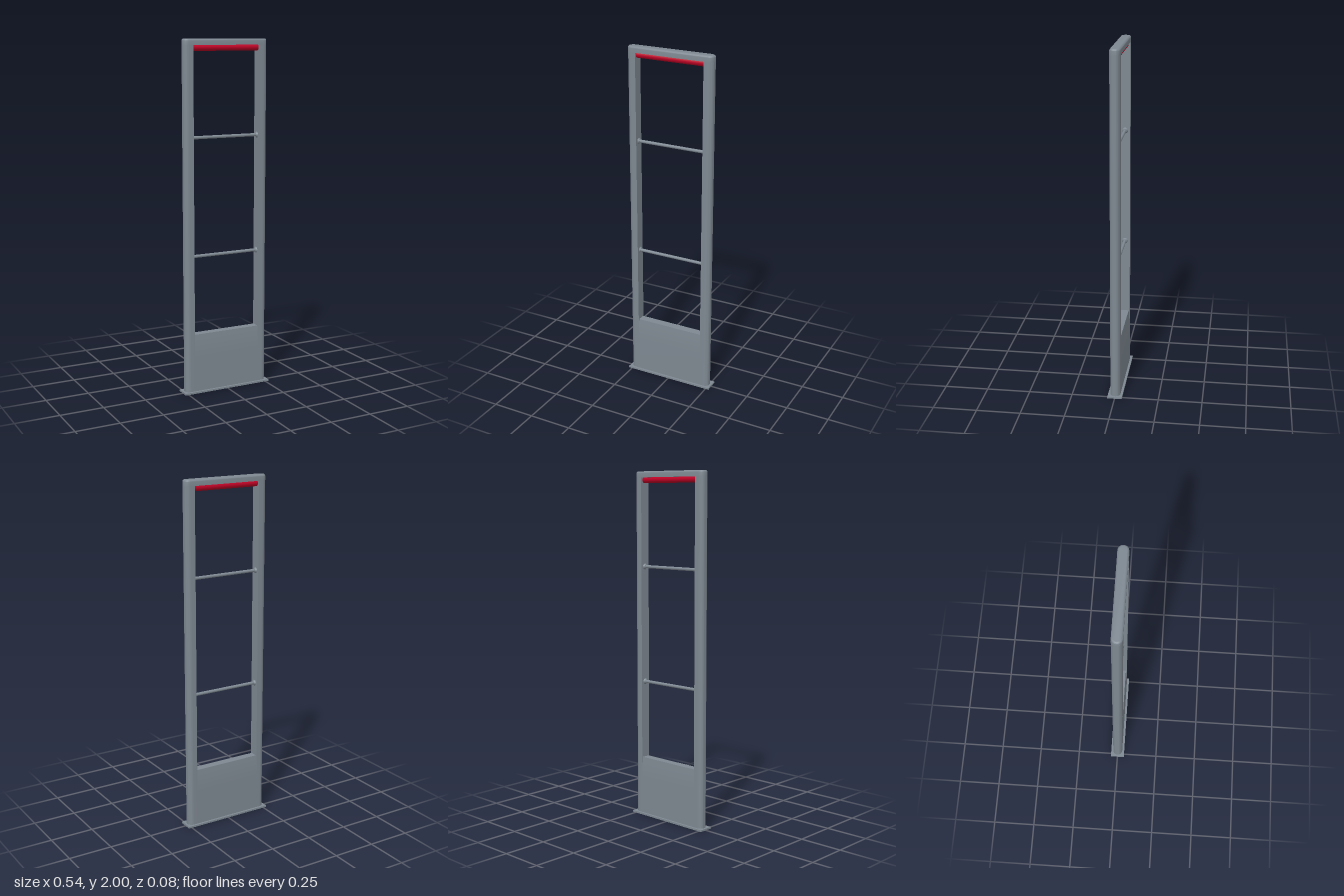
import * as THREE from 'three';
import { toCreasedNormals } from 'three/addons/utils/BufferGeometryUtils.js';

const R = 0.029;        // half depth of the frame
const CX = 0.229;       // centre of the rounded outer edge
const INNER = 0.204;    // inner face of the posts
const BASE = 0.01;      // thickness of the foot plate
const CAP = 1.966;      // underside of the top bar

export function createModel() {
  const grey = new THREE.MeshStandardMaterial({ color: 0x7e8891 });
  grey.name = 'grey metal';
  const red = new THREE.MeshStandardMaterial({ color: 0xbe0025 });
  red.name = 'red lamp';

  const model = new THREE.Group();
  model.name = 'detectionGate';
  const add = (name, geometry, material, x = 0, y = 0, z = 0) => {
    const mesh = new THREE.Mesh(geometry, material);
    mesh.name = name;
    mesh.position.set(x, y, z);
    model.add(mesh);
    return mesh;
  };

  // Foot plate
  add('footPlate', new THREE.BoxGeometry(0.54, BASE, 0.084), grey, 0, BASE / 2);

  // Posts: D-shaped section, flat inside and round outside
  const section = new THREE.Shape();
  section.moveTo(INNER, -R);
  section.lineTo(CX, -R);
  section.absarc(CX, 0, R, -Math.PI / 2, Math.PI / 2, false);
  section.lineTo(INNER, R);
  section.closePath();
  const post = new THREE.ExtrudeGeometry(section, { depth: CAP - BASE, bevelEnabled: false, curveSegments: 10 });
  post.rotateX(-Math.PI / 2);
  const postGeometry = toCreasedNormals(post, 0.6);
  add('leftPost', postGeometry, grey, 0, BASE);
  add('rightPost', postGeometry, grey, 0, BASE).rotation.y = Math.PI;

  // Top bar: stadium outline lofted upward with a rounded upper edge
  add('topBar', topBarGeometry(), grey);

  // Lamp tube under the top bar
  const lamp = new THREE.CylinderGeometry(0.018, 0.018, INNER * 2, 20).rotateZ(Math.PI / 2);
  add('lampTube', lamp, red, 0, 1.952);

  // Cross rods with a collar at each end
  const rod = new THREE.CylinderGeometry(0.009, 0.009, INNER * 2, 16).rotateZ(Math.PI / 2);
  const collar = new THREE.CylinderGeometry(0.011, 0.017, 0.009, 16).rotateZ(Math.PI / 2);
  for (const y of [0.795, 1.463]) {
    add('crossRod', rod, grey, 0, y);
    for (const s of [-1, 1]) {
      add('rodCollar', collar, grey, s * (INNER - 0.0045), y).rotation.y = s > 0 ? 0 : Math.PI;
      model.children.at(-1).rotation.y += Math.PI;
    }
  }
  model.children.filter((c) => c.name === 'rodCollar').forEach((c) => { c.rotation.y += Math.PI; });

  // Lower panel: flush with the posts below, thinning towards the top
  const profile = new THREE.Shape();
  profile.moveTo(-R, BASE);
  profile.lineTo(R, BASE);
  profile.lineTo(R, 0.22);
  profile.quadraticCurveTo(R, 0.28, 0.023, 0.345);
  profile.lineTo(-0.023, 0.345);
  profile.quadraticCurveTo(-R, 0.28, -R, 0.22);
  profile.closePath();
  const panel = new THREE.ExtrudeGeometry(profile, { depth: INNER * 2, bevelEnabled: false, curveSegments: 6 });
  panel.translate(0, 0, -INNER).rotateY(Math.PI / 2);
  add('lowerPanel', toCreasedNormals(panel, 0.6), grey);

  return model;
}

function topBarGeometry() {
  const half = 10;
  const count = 2 * (half + 1);
  const bevel = 0.011;
  // Each level is an outline at a height, with an inset
  const levels = [[CAP, 0], [2 - bevel, 0]];
  for (let i = 1; i <= 4; i++) {
    const a = (i / 4) * Math.PI / 2;
    levels.push([2 - bevel + bevel * Math.sin(a), bevel * (1 - Math.cos(a))]);
  }
  const positions = [];
  const index = [];
  for (const [y, inset] of levels) {
    for (let i = 0; i < count; i++) {
      const right = i > half;
      const a = -Math.PI / 2 + ((right ? i - 1 : i) / half) * Math.PI;
      positions.push((right ? -CX : CX) + (R - inset) * Math.cos(a), y, -(R - inset) * Math.sin(a));
    }
  }
  for (let l = 0; l < levels.length - 1; l++) {
    for (let i = 0; i < count; i++) {
      const j = (i + 1) % count;
      const a = l * count + i, b = l * count + j;
      index.push(a, b, b + count, a, b + count, a + count);
    }
  }
  const top = (levels.length - 1) * count;
  for (let i = 1; i < count - 1; i++) {
    index.push(0, i + 1, i);
    index.push(top, top + i, top + i + 1);
  }
  const geometry = new THREE.BufferGeometry();
  geometry.setAttribute('position', new THREE.Float32BufferAttribute(positions, 3));
  geometry.setIndex(index);
  return toCreasedNormals(geometry, 0.6);
}
